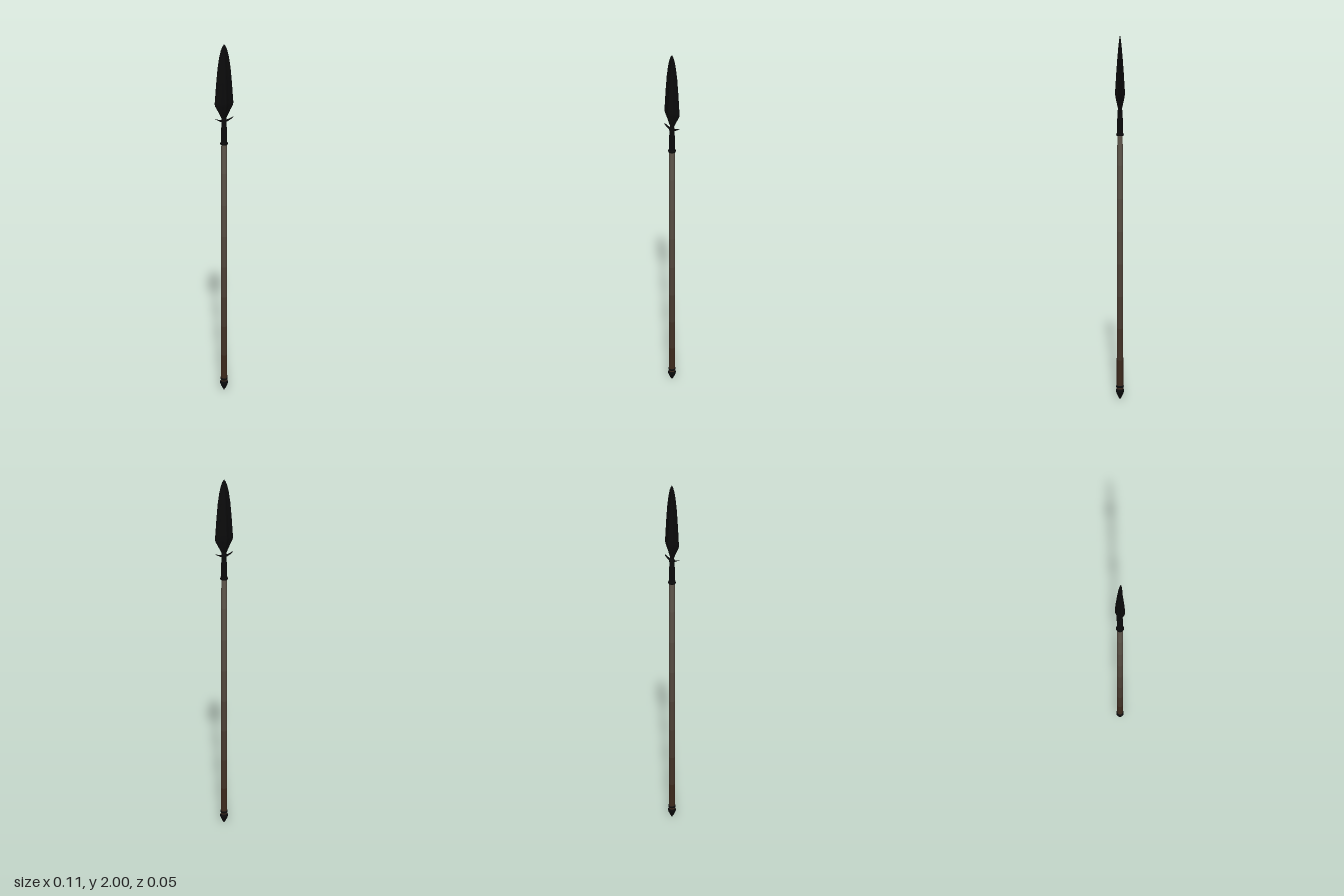
import * as THREE from 'three';

const metal = new THREE.MeshStandardMaterial({ color: 0x0b0b0c, side: THREE.DoubleSide });
const bladeMetal = new THREE.MeshStandardMaterial({ color: 0x0b0b0c, flatShading: true });

function lathe(name, profile, material = metal) {
  const points = profile.map(([r, y]) => new THREE.Vector2(r, y));
  const mesh = new THREE.Mesh(new THREE.LatheGeometry(points, 16), material);
  mesh.name = name;
  return mesh;
}

// Skins rings of equal length, listed from bottom to top, each counterclockwise seen from +z-to-+x
function loft(rings) {
  const n = rings[0].length;
  const index = [];
  for (let i = 0; i < rings.length - 1; i++) {
    for (let j = 0; j < n; j++) {
      const a = i * n + j, b = i * n + (j + 1) % n;
      index.push(a, b, b + n, a, b + n, a + n);
    }
  }
  const geometry = new THREE.BufferGeometry();
  geometry.setAttribute('position', new THREE.Float32BufferAttribute(rings.flat(2), 3));
  geometry.setIndex(index);
  geometry.computeVertexNormals();
  return geometry;
}

// Hollow-ground diamond section: thin cutting edges and a raised central ridge
function bladeRing(y, w, t) {
  const quarter = [[0, 1], [0.12, 0.92], [0.4, 0.46], [1, 0.03]];
  const front = [...quarter, ...quarter.slice().reverse().map(([x, z]) => [x, -z])];
  const back = front.slice(1, -1).reverse().map(([x, z]) => [-x, z]);
  return [...front, ...back].map(([x, z]) => [x * w, y, z * t]);
}

export function createModel() {
  const spear = new THREE.Group();
  spear.name = 'spear';

  // Tapered wooden shaft, fading from dark brown to weathered grey
  const shaft = new THREE.Group();
  shaft.name = 'shaft';
  const dark = new THREE.Color(0x3a2416), pale = new THREE.Color(0x625a4f);
  const sections = 8, y0 = 0.05, y1 = 1.49;
  const radius = (f) => THREE.MathUtils.lerp(0.0185, 0.0145, f);
  for (let i = 0; i < sections; i++) {
    const f0 = i / sections, f1 = (i + 1) / sections;
    const h = (y1 - y0) / sections;
    const wood = new THREE.MeshStandardMaterial({ color: dark.clone().lerp(pale, (f0 + f1) / 2) });
    const part = new THREE.Mesh(
      new THREE.CylinderGeometry(radius(f1), radius(f0), h, 16, 1, true), wood);
    part.position.y = y0 + h * (i + 0.5);
    part.name = 'shaftSection';
    shaft.add(part);
  }
  spear.add(shaft);

  // Pointed butt cap with a collar above it
  spear.add(lathe('buttSpike', [
    [0, 0], [0.008, 0.012], [0.019, 0.036], [0.023, 0.048], [0.022, 0.057], [0.018, 0.063], [0, 0.063],
  ]));
  spear.add(lathe('buttCollar', [[0.018, 0.07], [0.021, 0.073], [0.021, 0.08], [0.018, 0.083]]));

  // Socket gripping the shaft, with a rim at its mouth and a narrow neck
  spear.add(lathe('socket', [
    [0.0145, 1.468], [0.019, 1.469], [0.0205, 1.475], [0.019, 1.481], [0.0165, 1.484],
    [0.0155, 1.56], [0.0125, 1.568], [0.0125, 1.585], [0.014, 1.59], [0.014, 1.6], [0.01, 1.612], [0, 1.612],
  ]));

  // Slim lugs sweeping out and up from the neck
  for (const side of [1, -1]) {
    const shape = new THREE.Shape();
    shape.moveTo(0, 1.588);
    shape.lineTo(0.02, 1.595);
    shape.quadraticCurveTo(0.04, 1.604, 0.053, 1.614);
    shape.quadraticCurveTo(0.035, 1.607, 0.02, 1.603);
    shape.lineTo(0, 1.604);
    const geometry = new THREE.ExtrudeGeometry(shape, { depth: 0.008, bevelEnabled: false, curveSegments: 5 });
    geometry.translate(0, 0, -0.004);
    const lug = new THREE.Mesh(geometry, metal);
    if (side < 0) lug.rotation.y = Math.PI;
    lug.name = side > 0 ? 'leftLug' : 'rightLug';
    spear.add(lug);
  }

  // Leaf-shaped blade: height, half width, half thickness
  const blade = new THREE.Mesh(loft([
    [1.595, 0.011, 0.009], [1.615, 0.015, 0.011], [1.65, 0.033, 0.019], [1.68, 0.05, 0.025],
    [1.692, 0.053, 0.026], [1.71, 0.051, 0.0255], [1.8, 0.044, 0.02], [1.88, 0.036, 0.014],
    [1.935, 0.027, 0.009], [1.97, 0.018, 0.005], [1.99, 0.009, 0.002], [2, 0.0003, 0.0003],
  ].map((s) => bladeRing(...s))), bladeMetal);
  blade.name = 'blade';
  spear.add(blade);

  return spear;
}
